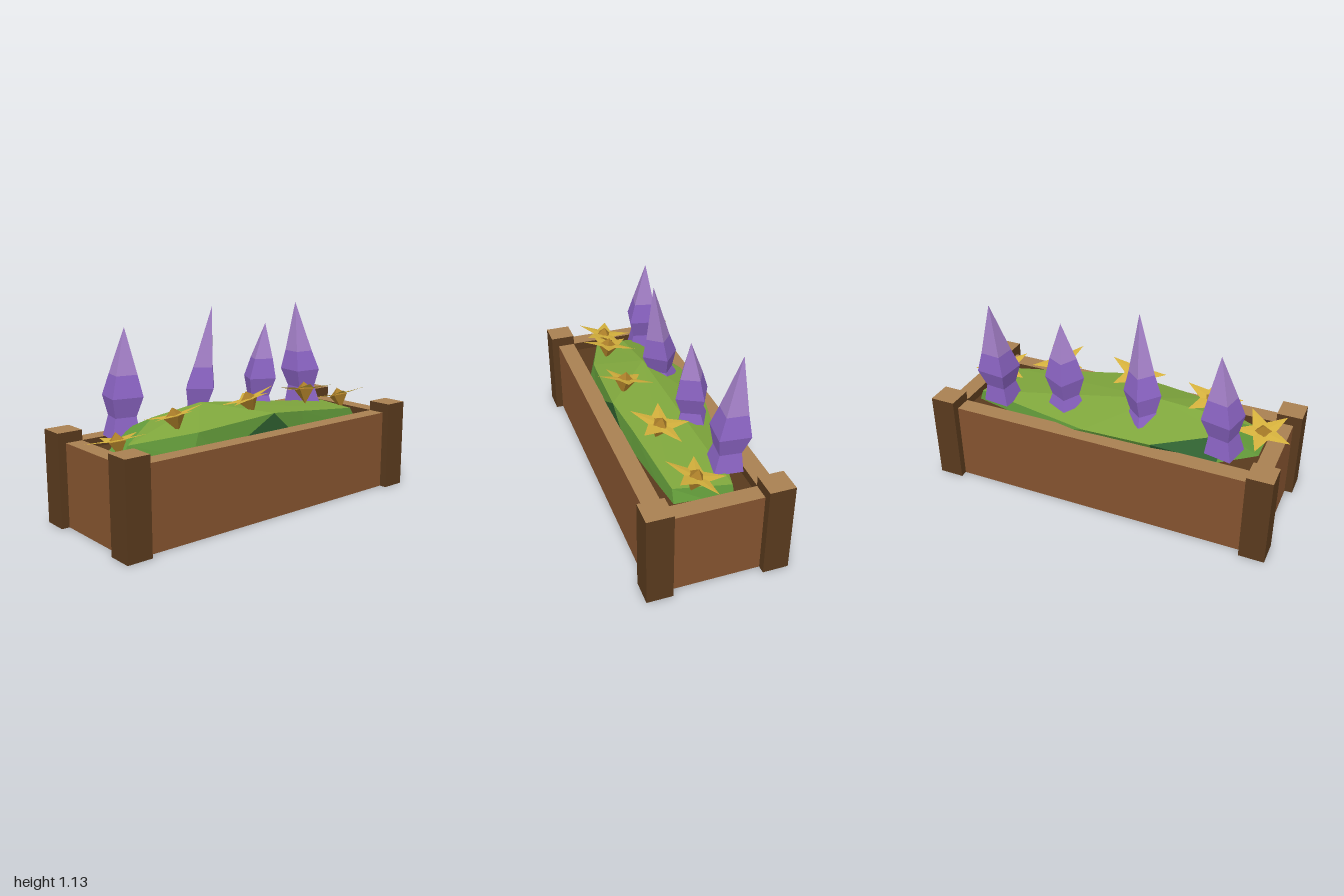
import * as THREE from 'three';

const mat = (name, color) => new THREE.MeshStandardMaterial({ name, color, flatShading: true, side: THREE.DoubleSide });

export function createModel() {
  const plank = mat('plank brown', 0x84532f);
  const post = mat('post brown', 0x593a1d);
  const cutTop = mat('light wood', 0xa88051);
  const leafLight = mat('light green', 0x7ea53c);
  const leafMid = mat('mid green', 0x619839);
  const leafDark = mat('dark green', 0x2f6030);
  const bloomTip = mat('light purple', 0xa480c8);
  const bloomBody = mat('purple', 0x8a63c2);
  const petal = mat('yellow', 0xd4b03c);
  const heart = mat('dark gold', 0xa87c28);

  const model = new THREE.Group();
  const add = (parent, name, geometry, material) => {
    const m = new THREE.Mesh(geometry, material);
    m.name = name;
    parent.add(m);
    return m;
  };

  // Box with one face left out (3 is the underside, 2 the top)
  const openBox = (w, h, d, skip) => {
    const g = new THREE.BoxGeometry(w, h, d);
    const sides = g.groups.filter((s, i) => i !== skip);
    g.clearGroups();
    sides.forEach(s => g.addGroup(s.start, s.count, s.materialIndex === 2 ? 1 : 0));
    return g;
  };

  // Hollow planter: single-skin walls with a flat rim, between corner posts
  for (const s of [-1, 1]) {
    const front = add(model, 'longWall', new THREE.PlaneGeometry(1.72, 0.46), plank);
    front.position.set(0, 0.23, s * 0.345);
    front.rotation.y = s > 0 ? 0 : Math.PI;
    const end = add(model, 'endWall', new THREE.PlaneGeometry(0.492, 0.46), plank);
    end.position.set(s * 0.955, 0.23, 0);
    end.rotation.y = s * Math.PI / 2;
    const rimLong = add(model, 'longRim', new THREE.PlaneGeometry(1.72, 0.099), cutTop);
    rimLong.position.set(0, 0.46, s * 0.2955);
    rimLong.rotation.x = -Math.PI / 2;
    const rimEnd = add(model, 'endRim', new THREE.PlaneGeometry(0.095, 0.492), cutTop);
    rimEnd.position.set(s * 0.9075, 0.46, 0);
    rimEnd.rotation.x = -Math.PI / 2;
    for (const t of [-1, 1]) {
      const p = add(model, 'cornerPost', openBox(0.142, 0.517, 0.142, 3), [post, cutTop]);
      p.position.set(s * 0.929, 0.2585, t * 0.316);
    }
  }
  add(model, 'soilTray', openBox(1.72, 0.05, 0.492, 2), [post]).position.y = 0.435;

  // Faceted leaf mound: peak, shoulder ring and rim ring
  const peak = [-0.25, 0.618, -0.02];
  const shoulder = [
    [-0.8, 0.49, 0.1], [-0.45, 0.525, 0.225], [0.05, 0.56, 0.255], [0.3, 0.53, 0.22], [0.76, 0.475, 0.17],
    [0.82, 0.47, -0.13], [0.1, 0.48, -0.28], [-0.3, 0.49, -0.28], [-0.66, 0.53, -0.09], [-0.58, 0.585, 0]];
  const rim = [
    [-0.84, 0.42, 0.1], [-0.5, 0.4, 0.24], [-0.32, 0.36, 0.245], [0.3, 0.34, 0.24], [0.84, 0.34, 0.18],
    [0.86, 0.34, -0.14], [0.4, 0.36, -0.24], [-0.3, 0.42, -0.24], [-0.65, 0.42, -0.2], [-0.84, 0.42, -0.05]];
  const tris = { light: [], mid: [], dark: [] };
  for (let i = 0; i < 10; i++) {
    const j = (i + 1) % 10;
    tris.light.push(peak, shoulder[i], shoulder[j]);
    tris[i === 2 || i === 7 ? 'dark' : 'mid'].push(shoulder[i], rim[i], rim[j]);
    tris[i === 7 ? 'dark' : 'mid'].push(shoulder[i], rim[j], shoulder[j]);
    tris.dark.push([0.2, 0.35, 0], rim[j], rim[i]);
  }
  const mound = new THREE.Group();
  mound.name = 'leafMound';
  model.add(mound);
  for (const [key, m] of [['light', leafLight], ['mid', leafMid], ['dark', leafDark]]) {
    const g = new THREE.BufferGeometry();
    g.setAttribute('position', new THREE.Float32BufferAttribute(tris[key].flat(), 3));
    g.computeVertexNormals();
    add(mound, key + 'Leaves', g, m);
  }

  // Leaning four-sided flower spikes: base x, y, z, then tip x, y, z, turn and belly radius
  const spikes = [
    [-0.675, 0.47, -0.15, -0.63, 1.045, -0.17, 0.57, 0.12],
    [-0.2, 0.53, -0.12, -0.14, 1.13, -0.05, 0.1, 0.107],
    [0.265, 0.52, -0.13, 0.3, 1.005, -0.1, 0.3, 0.11],
    [0.665, 0.475, -0.15, 0.665, 1.1, -0.225, 0.68, 0.12]];
  for (const [bx, by, bz, tx, ty, tz, turn, belly] of spikes) {
    const spike = new THREE.Group();
    spike.name = 'flowerSpike';
    model.add(spike);
    const lathe = (name, pts, m) => {
      const g = new THREE.LatheGeometry(pts.map(p => new THREE.Vector2(...p)), 4, turn);
      const p = g.attributes.position;
      for (let i = 0; i < p.count; i++) {
        const t = (p.getY(i) - by) / (ty - by);
        p.setX(i, p.getX(i) + bx + (tx - bx) * t);
        p.setZ(i, p.getZ(i) + bz + (tz - bz) * t);
      }
      g.computeVertexNormals();
      add(spike, name, g, m);
    };
    const neck = belly * 0.69;
    lathe('spikeBody', [[0, by], [belly * 0.92, by], [neck, 0.58], [belly, 0.685], [neck, 0.8]], bloomBody);
    lathe('spikeTip', [[neck, 0.8], [0, ty]], bloomTip);
  }

  // Yellow star flowers: x, y, z, tilt x, tilt z, turn
  const stars = [
    [-0.83, 0.515, 0.05, -0.2, 0.05, 0.31],
    [-0.52, 0.608, 0.11, -0.22, 0.15, -0.31],
    [-0.05, 0.64, 0.15, -0.25, 0.24, -0.25],
    [0.42, 0.63, 0.11, -0.25, -0.12, 0.4],
    [0.78, 0.54, 0.05, -0.32, 0, 0.33]];
  for (const [x, y, z, rx, rz, turn] of stars) {
    const flower = new THREE.Group();
    flower.name = 'starFlower';
    flower.position.set(x, y, z);
    flower.rotation.set(rx, 0, rz);
    model.add(flower);
    const g = new THREE.CircleGeometry(1, 10);
    const p = g.attributes.position;
    for (let i = 1; i < p.count; i++) {
      const tip = i % 2 === 1;
      const r = tip ? 0.17 : 0.07;
      p.setXYZ(i, p.getX(i) * r, p.getY(i) * r, tip ? 0.01 : 0);
    }
    g.rotateX(-Math.PI / 2).rotateY(turn);
    g.computeVertexNormals();
    add(flower, 'petals', g, petal);
    const core = [[0, -0.09], [0.06, -0.006], [0.042, 0.004], [0, 0.04]];
    add(flower, 'flowerHeart', new THREE.LatheGeometry(core.map(c => new THREE.Vector2(...c)), 4, turn), heart);
  }
  return model;
}
